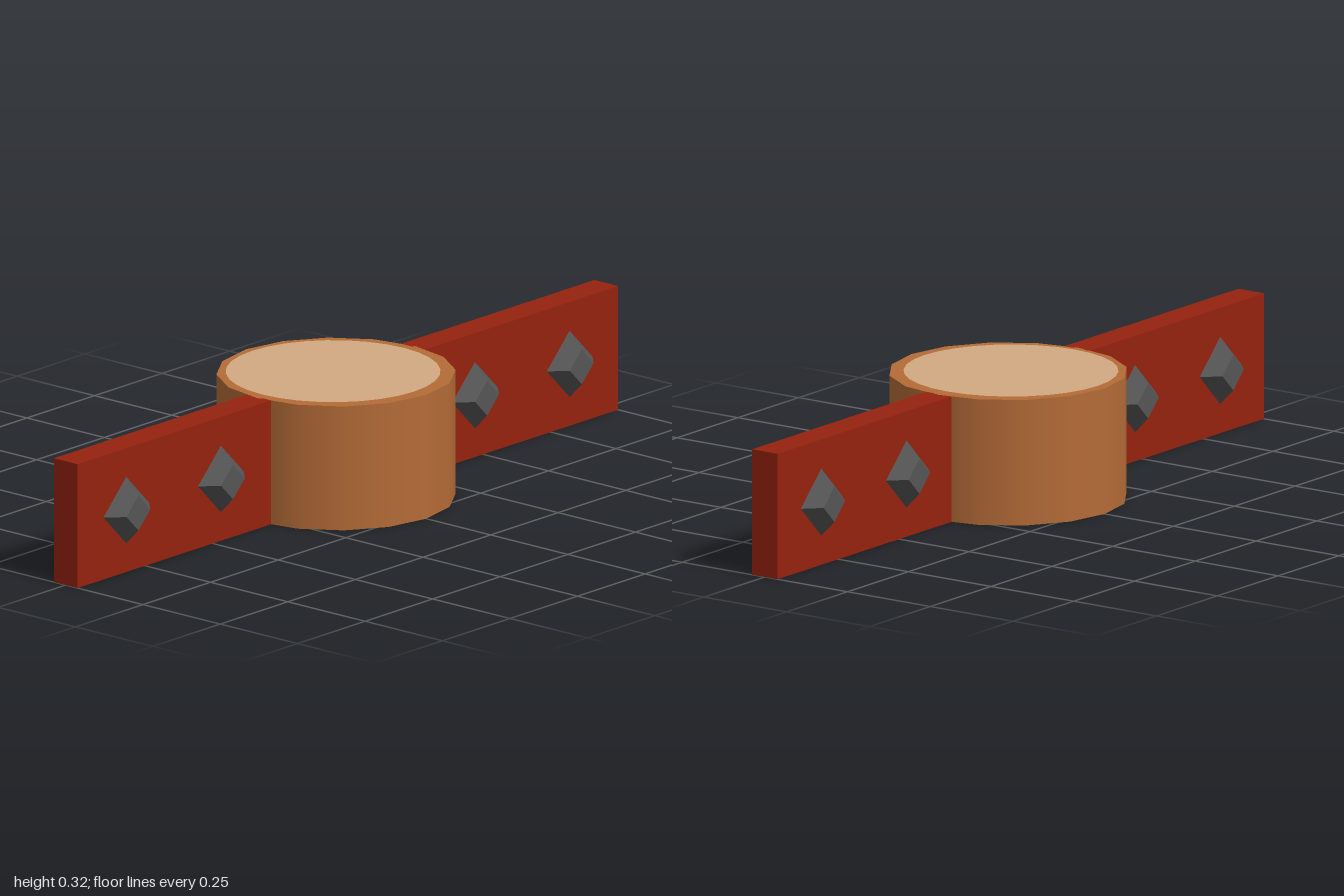
import * as THREE from 'three';

const HEIGHT = 0.315;
const HUB_RADIUS = 0.292;
const HUB_SIDES = 16;

function material(name, color, side = THREE.FrontSide) {
  const m = new THREE.MeshStandardMaterial({ color, side });
  m.name = name;
  return m;
}

export function createModel() {
  const model = new THREE.Group();
  model.name = 'hubWithStuddedArms';

  const red = material('red', 0x96220f);
  const brown = material('brown', 0xb46b37, THREE.DoubleSide);
  const tan = material('tan', 0xd2a882);
  const iron = material('darkGrey', 0x555555);
  iron.flatShading = true;

  function add(parent, name, geometry, mat, x = 0, y = 0, z = 0) {
    const mesh = new THREE.Mesh(geometry, mat);
    mesh.name = name;
    mesh.position.set(x, y, z);
    parent.add(mesh);
    return mesh;
  }

  // Hollow hub: smooth wall, closed top, open bottom
  const hub = new THREE.Group();
  hub.name = 'hub';
  model.add(hub);
  add(hub, 'hubWall',
    new THREE.CylinderGeometry(HUB_RADIUS, HUB_RADIUS, HEIGHT, HUB_SIDES, 1, true),
    brown, 0, HEIGHT / 2, 0);
  const top = new THREE.CircleGeometry(HUB_RADIUS, HUB_SIDES).rotateX(-Math.PI / 2);
  add(hub, 'hubTop', top, brown, 0, HEIGHT, 0);

  // Pale disc laid on the hub top
  const disc = new THREE.CircleGeometry(0.262, 32).rotateX(-Math.PI / 2);
  add(hub, 'topDisc', disc, tan, -0.004, HEIGHT + 0.002, -0.006);

  // Four-sided bevelled stud that passes through the arm
  const profile = [
    [0, -0.078], [0.044, -0.078], [0.085, -0.038],
    [0.085, 0.038], [0.044, 0.078], [0, 0.078],
  ].map(([r, y]) => new THREE.Vector2(r, y));
  const studGeometry = new THREE.LatheGeometry(profile, 4).rotateX(Math.PI / 2);

  // Flat arms either side of the hub, two studs on each
  const inner = 0.284;
  const armGeometry = new THREE.BoxGeometry(1 - inner, HEIGHT, 0.077);
  for (const [side, label] of [[1, 'left'], [-1, 'right']]) {
    const arm = new THREE.Group();
    arm.name = label + 'Arm';
    model.add(arm);
    add(arm, label + 'ArmBar', armGeometry, red, side * (1 + inner) / 2, HEIGHT / 2, 0);
    add(arm, label + 'InnerStud', studGeometry, iron, side * 0.47, HEIGHT / 2, 0);
    add(arm, label + 'OuterStud', studGeometry, iron, side * 0.82, HEIGHT / 2, 0);
  }

  return model;
}
